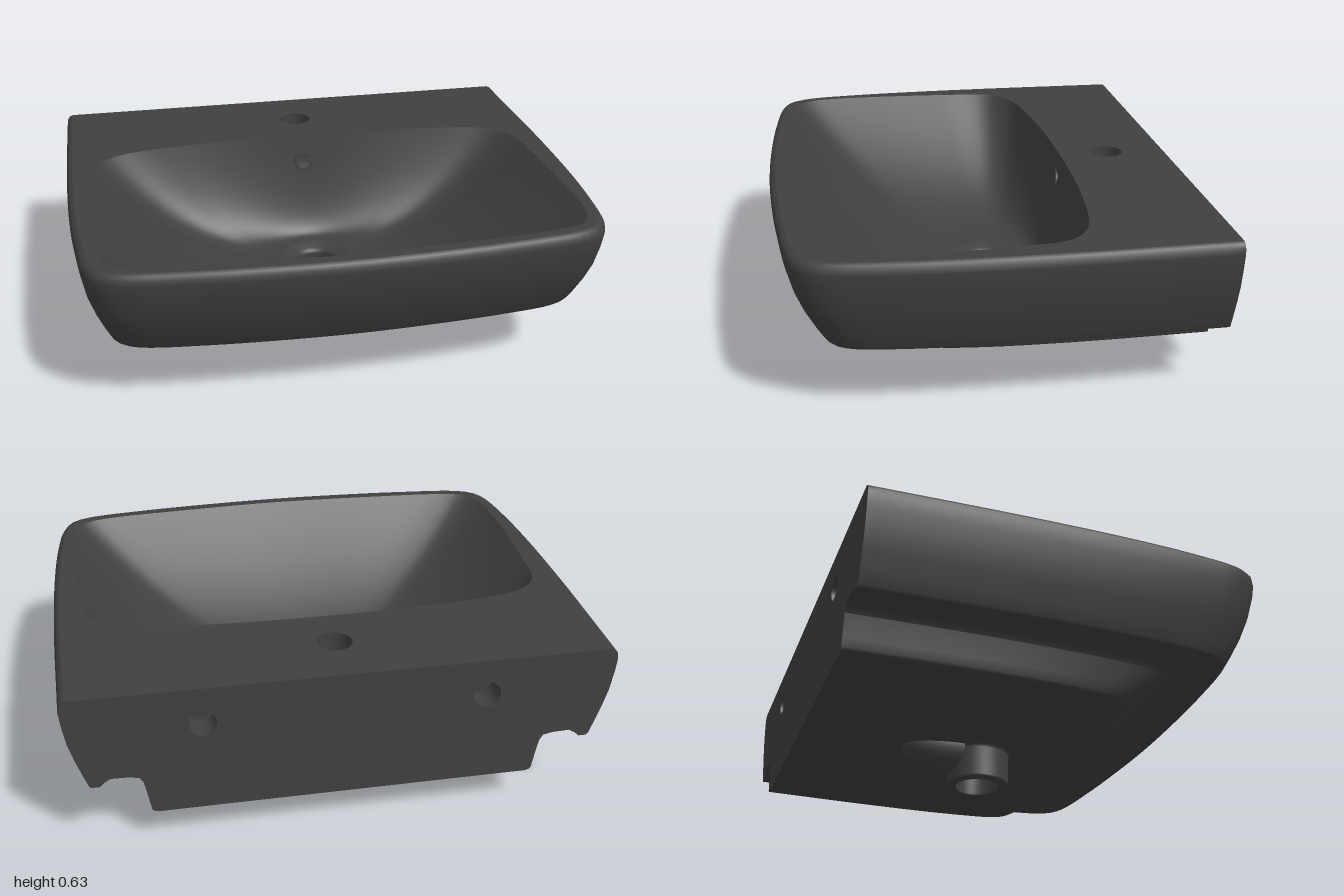
import * as THREE from 'three';

const BACK = -0.8, TOP = 0.63, DRAIN_Z = -0.075;

// Half outline of the body, from back corner to front centre [x, z]
const BODY = [[0.99, -0.8], [1, -0.2], [0.995, 0.2], [0.98, 0.45], [0.955, 0.63],
  [0.92, 0.7], [0.85, 0.738], [0.6, 0.772], [0.3, 0.792], [0, 0.8]];
// Half outline of the bowl opening, from back centre to front centre [x, z]
const BOWL = [[0, -0.37], [0.5, -0.35], [0.78, -0.3], [0.87, -0.22], [0.9, 0], [0.915, 0.3],
  [0.912, 0.5], [0.895, 0.6], [0.855, 0.66], [0.76, 0.69], [0.4, 0.72], [0, 0.735]];

const mirrored = (pts) => pts.slice().reverse().map(([x, z]) => [-x, z]);
function curve(pts, closed, n) {
  const c = new THREE.CatmullRomCurve3(pts.map(([x, z]) => new THREE.Vector3(x, 0, z)), closed, 'centripetal');
  return c.getSpacedPoints(n);
}
const bodyCurve = curve([...mirrored(BODY).reverse(), ...BODY.slice(0, -1).reverse()], false, 120);
const bowlCurve = curve([...BOWL, ...mirrored(BOWL).slice(1, -1)], true, 144).slice(0, -1);

// Body cross-section at height y, with half width w and front edge zf
const section = ([w, zf, y]) => bodyCurve.map((p) => new THREE.Vector3(
  p.x * w, y, BACK + (p.z - BACK) * (zf - BACK) / (0.8 - BACK)));

// Skin through rows of points
function loft(rows, closed = false) {
  const n = rows[0].length, index = [];
  for (let i = 0; i < rows.length - 1; i++) {
    for (let j = 0; j < (closed ? n : n - 1); j++) {
      const k = (j + 1) % n, a = i * n + j, b = i * n + k;
      index.push(a, a + n, b, b, a + n, b + n);
    }
  }
  const g = new THREE.BufferGeometry().setFromPoints(rows.flat());
  g.setIndex(index);
  g.computeVertexNormals();
  return g;
}

const circle = (x, y, r) => new THREE.Path().absarc(x, y, r, 0, Math.PI * 2, true);
function flat(points, holes) {
  const s = new THREE.Shape(points);
  s.holes.push(...holes);
  return new THREE.ShapeGeometry(s, 32);
}
const lathe = (pts) => new THREE.LatheGeometry(pts.map(([x, y]) => new THREE.Vector2(x, y)), 48);
// Blind hole opening towards +y
const recess = (r, d) => lathe([[r, 0], [r, -d + 0.002], [r - 0.002, -d], [0, -d]]);

export function createModel() {
  const group = new THREE.Group();
  const ceramic = new THREE.MeshStandardMaterial({ color: 0x404040, side: THREE.DoubleSide });
  ceramic.name = 'dark ceramic';
  const add = (name, geometry, x = 0, y = 0, z = 0) => {
    const mesh = new THREE.Mesh(geometry, ceramic);
    mesh.name = name;
    mesh.position.set(x, y, z);
    group.add(mesh);
    return mesh;
  };

  // Outer skin as [half width, front z, y], top to bottom
  const wall = [[0.975, 0.775, TOP], [0.988, 0.79, 0.624], [0.997, 0.798, 0.61], [1, 0.8, 0.59],
    [0.995, 0.793, 0.54], [0.982, 0.772, 0.46], [0.962, 0.745, 0.39], [0.938, 0.71, 0.32], [0.922, 0.685, 0.277], [0.915, 0.68, 0.27]];
  const groove = [[0.915, 0.68, 0.27], [0.885, 0.65, 0.27], [0.87, 0.635, 0.285], [0.845, 0.615, 0.3],
    [0.78, 0.55, 0.298], [0.745, 0.515, 0.29], [0.733, 0.5, 0.27]];
  const lower = [[0.733, 0.5, 0.27], [0.724, 0.45, 0.23], [0.716, 0.395, 0.185], [0.71, 0.35, 0.152],
    [0.704, 0.335, 0.143], [0.69, 0.315, 0.138]];
  add('outerWall', loft(wall.map(section)));
  add('undersideGroove', loft(groove.map(section)));
  add('lowerBody', loft(lower.map(section)));

  // Flat top with the bowl opening and tap hole
  const deck = flat(section(wall[0]).map((p) => new THREE.Vector2(p.x, -p.z)), [
    new THREE.Path(bowlCurve.map((p) => new THREE.Vector2(p.x, -p.z))), circle(0, 0.565, 0.065)]);
  add('topDeck', deck.rotateX(-Math.PI / 2), 0, TOP, 0);
  add('tapHole', recess(0.065, 0.1), 0, TOP, -0.565);

  // Bottom plate around the drain
  const base = flat(section(lower[5]).map((p) => new THREE.Vector2(p.x, p.z)), [circle(0, DRAIN_Z, 0.12)]);
  add('bottomPlate', base.rotateX(Math.PI / 2), 0, 0.138, 0);

  // Back panel follows the skin's end profile and has two fixing holes
  const edge = [...wall, ...groove.slice(1), ...lower.slice(1)].map(([w, , y]) => new THREE.Vector2(w * 0.99, y));
  const panel = flat([...edge, ...edge.slice().reverse().map((p) => new THREE.Vector2(-p.x, p.y))],
    [circle(0.51, 0.49, 0.05), circle(-0.51, 0.49, 0.05)]);
  add('backPanel', panel.rotateY(Math.PI), 0, 0, BACK);
  for (const side of [-1, 1]) {
    add('fixingHole', recess(0.05, 0.1).rotateX(-Math.PI / 2), side * 0.51, 0.49, BACK);
  }

  // Bowl: opening blends into the drain circle, steepest at the back
  const rows = [];
  for (let i = 0; i <= 36; i++) {
    const s = Math.pow(i / 36, 1.4);
    rows.push(bowlCurve.map((p) => {
      const d = new THREE.Vector3(p.x, 0, p.z - DRAIN_Z).normalize();
      const k = 2 - 0.35 * Math.max(d.z, 0) + Math.max(-d.z, 0);
      const q = new THREE.Vector3(d.x * 0.14, 0, DRAIN_Z + d.z * 0.14);
      q.lerpVectors(p, q, s);
      q.y = TOP - 0.43 * (1 - Math.pow(1 - s, k));
      return q;
    }));
  }
  add('bowl', loft(rows, true));

  // Overflow opening on the bowl's back wall
  const overflow = add('overflowOpening', lathe([[0.04, -0.02], [0.04, 0.004], [0.036, 0.008], [0.032, 0.004], [0, 0.003]]),
    0, 0.52, -0.355);
  overflow.rotation.x = Math.PI / 2 - 0.145;

  // Drain with open outlet pipe
  add('drainPipe', lathe([[0.14, 0.2], [0.1, 0.187], [0.088, 0.178], [0.085, 0.165], [0.085, 0.004], [0.088, 0],
    [0.118, 0], [0.124, 0.004], [0.125, 0.01], [0.125, 0.125], [0.128, 0.134], [0.135, 0.14]]), 0, 0, DRAIN_Z);

  // Overflow channel bulging below the bottom plate
  const channel = new THREE.SphereGeometry(1, 32, 16, Math.PI, Math.PI, Math.PI / 2, Math.PI / 2);
  add('overflowChannel', channel.scale(0.1, 0.108, 0.23), 0, 0.14, -0.16);

  return group;
}
